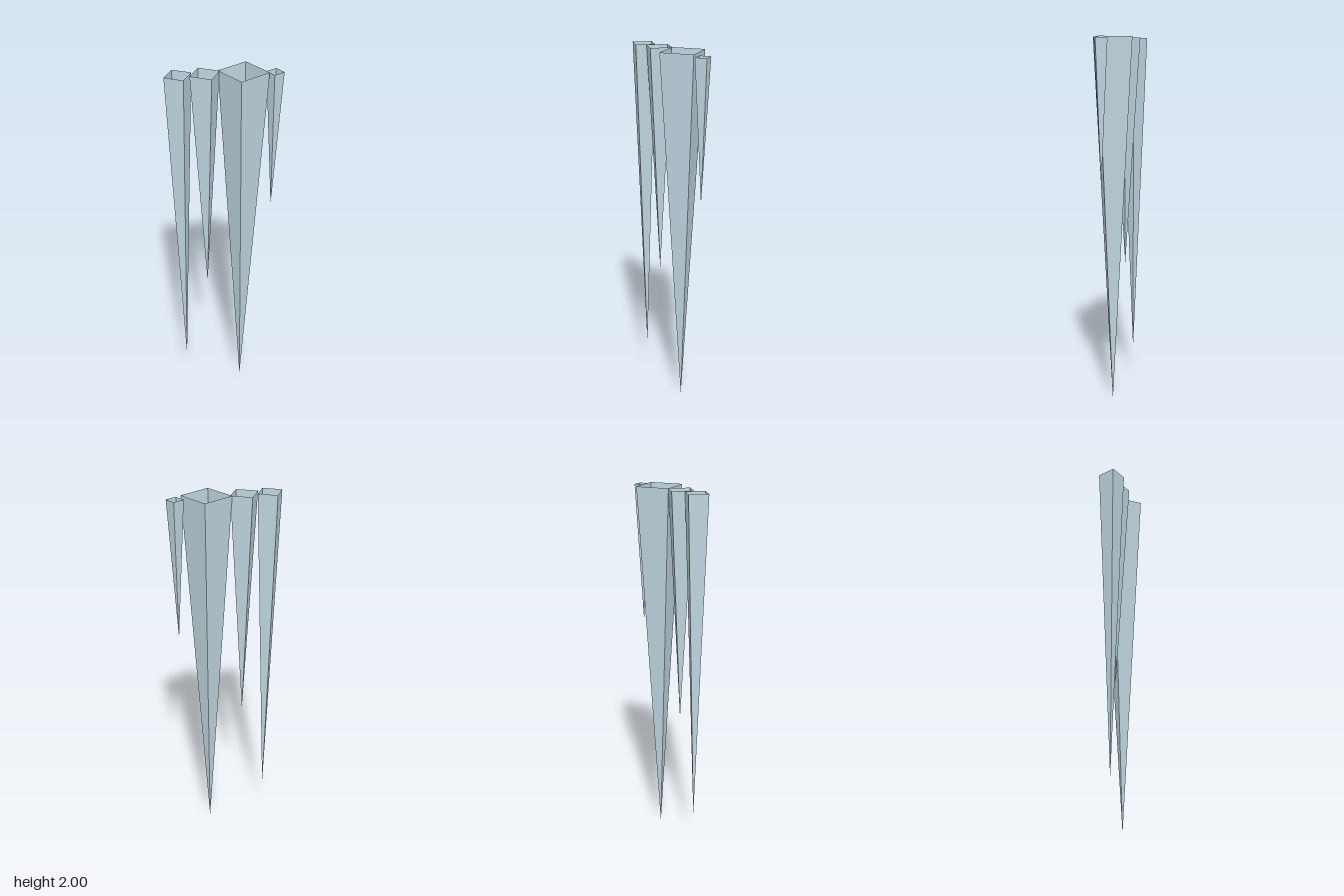
import * as THREE from 'three';

// One hanging icicle: an open-topped, four-sided spike with its tip down
function icicle(name, { x, radius, top, tip, turn }, material) {
  const height = top - tip;
  const cone = new THREE.ConeGeometry(radius, height, 4, 1, true);
  cone.rotateX(Math.PI);
  cone.rotateY(turn);
  const geometry = cone.toNonIndexed();
  geometry.computeVertexNormals(); // crisp facets
  const mesh = new THREE.Mesh(geometry, material);
  mesh.name = name;
  mesh.position.set(x, tip + height / 2, 0);
  return mesh;
}

export function createModel() {
  const ice = new THREE.MeshStandardMaterial({ color: 0xbfd5df, side: THREE.DoubleSide, flatShading: true });
  ice.name = 'paleIce';

  // Row of icicles from right to left
  const row = {
    longIcicle: { x: -0.228, radius: 0.0725, top: 2, tip: 0.2, turn: 0.315 },
    mediumIcicle: { x: -0.096, radius: 0.08, top: 2, tip: 0.75, turn: 0.315 },
    mainIcicle: { x: 0.095, radius: 0.127, top: 2, tip: 0, turn: -0.24 },
    smallIcicle: { x: 0.2525, radius: 0.0442, top: 1.99, tip: 1.23, turn: -0.27 },
  };

  const group = new THREE.Group();
  group.name = 'icicles';
  for (const [name, spec] of Object.entries(row)) group.add(icicle(name, spec, ice));
  return group;
}
